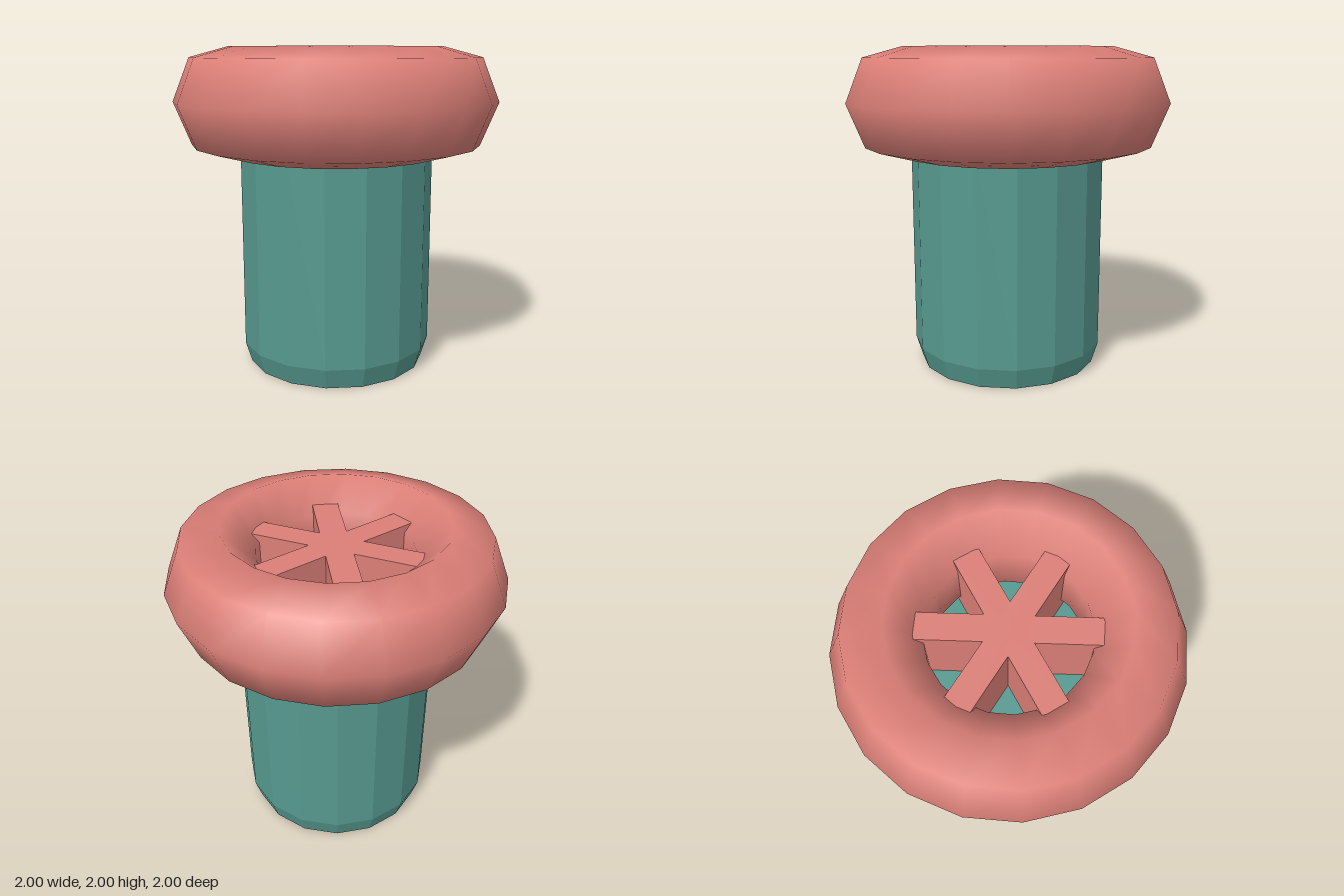
import * as THREE from 'three';

export function createModel() {
  const model = new THREE.Group();
  const coral = new THREE.MeshStandardMaterial({ color: 0xdb7f77 });
  coral.name = 'coral';
  const teal = new THREE.MeshStandardMaterial({ color: 0x56998f });
  teal.name = 'teal';

  const add = (geometry, material, name, parent = model) => {
    const mesh = new THREE.Mesh(geometry, material);
    mesh.name = name;
    parent.add(mesh);
    return mesh;
  };

  // Faceted post with a chamfered foot
  const profile = [[0, 0], [0.565, 0], [0.605, 0.13], [0.605, 1.42], [0, 1.42]]
    .map(([r, y]) => new THREE.Vector2(r, y));
  const post = new THREE.LatheGeometry(profile, 16).toNonIndexed();
  post.computeVertexNormals();
  add(post, teal, 'post');

  // Smooth wheel rim, stretched slightly upwards
  const rim = new THREE.TorusGeometry(0.719, 0.281, 7, 20);
  rim.rotateX(Math.PI / 2);
  rim.scale(1, 0.3385 / 0.281, 1);
  add(rim, coral, 'rim').position.y = 1.67;

  // Three crossing bars make six spokes, their ends sunk into the rim
  const spokes = new THREE.Group();
  spokes.name = 'spokes';
  model.add(spokes);
  const top = 1.865, bottom = 1.42;
  for (let i = 0; i < 3; i++) {
    const bar = add(new THREE.BoxGeometry(1.16, top - bottom, 0.16), coral, 'spokeBar', spokes);
    bar.position.y = (top + bottom) / 2;
    bar.rotation.y = i * Math.PI / 3;
  }

  return model;
}
